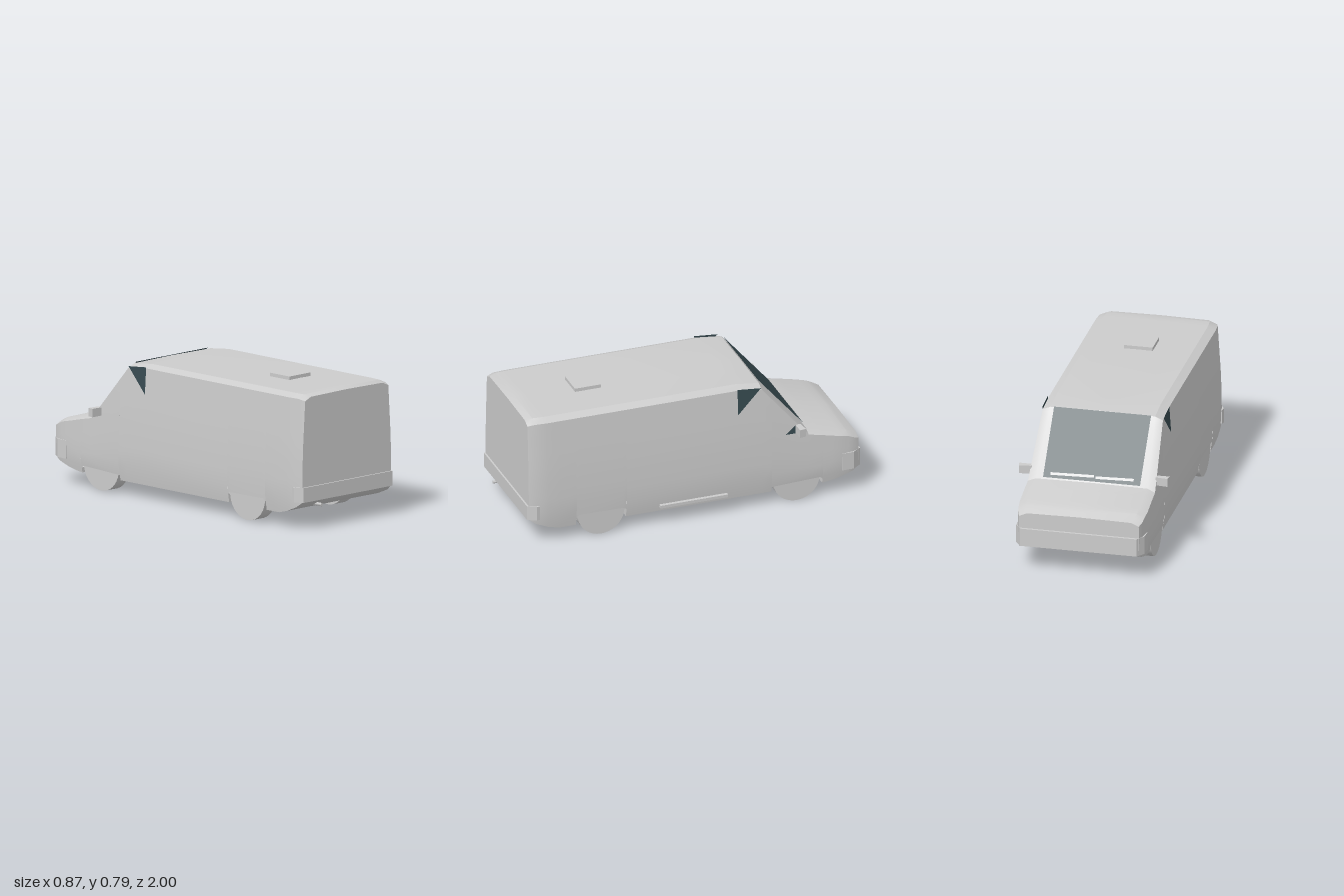
import * as THREE from 'three';
import { toCreasedNormals } from 'three/addons/utils/BufferGeometryUtils.js';

const paint = new THREE.MeshStandardMaterial({ color: 0xcccccc, side: THREE.DoubleSide });
paint.name = 'pale grey paint';
const glass = new THREE.MeshStandardMaterial({ color: 0x374a50, side: THREE.DoubleSide });
glass.name = 'dark glass';

// piecewise linear lookup in a list of [key, value], keys rising
function lookup(table, k) {
  if (k <= table[0][0]) return table[0][1];
  for (let i = 1; i < table.length; i++) {
    const [k0, v0] = table[i - 1], [k1, v1] = table[i];
    if (k <= k1) return v0 + (v1 - v0) * (k - k0) / (k1 - k0);
  }
  return table[table.length - 1][1];
}

// half width of the body by height, its narrowing by z, and the roof line by z
const sideX = y => lookup([[0.08, 0.355], [0.16, 0.369], [0.25, 0.371], [0.45, 0.366], [0.75, 0.346]], y);
const narrowing = z => lookup([[-0.99, 0.93], [-0.95, 0.975], [-0.87, 1], [0.88, 1], [0.95, 0.985], [0.99, 0.945]], z);
const roofY = z => lookup([[-0.985, 0.345], [-0.92, 0.375], [-0.75, 0.415], [-0.68, 0.43], [-0.405, 0.755],
  [-0.26, 0.772], [0.96, 0.772], [0.99, 0.762]], z);

// body sections from the tail to the nose: [z, bottom y, open wheel arch ahead]
const stations = [
  [0.99, 0.16], [0.95, 0.13], [0.88, 0.1], [0.81, 0.08], [0.71, 0.08],
  [0.71, 0.13, true], [0.69, 0.145, true], [0.43, 0.142, true], [0.41, 0.13],
  [0.41, 0.08], [-0.26, 0.08], [-0.405, 0.08], [-0.46, 0.08],
  [-0.46, 0.11, true], [-0.68, 0.12, true], [-0.75, 0.122, true], [-0.765, 0.11],
  [-0.765, 0.08], [-0.82, 0.088], [-0.87, 0.1], [-0.92, 0.115], [-0.95, 0.125], [-0.985, 0.145],
];
const steps = 7;

function halfSection([z, yb]) {
  const top = roofY(z), shoulder = top - 0.024, w = narrowing(z);
  const pts = [new THREE.Vector3(0, yb, z)];
  for (let i = 0; i <= steps; i++) {
    const y = yb + (shoulder - yb) * i / steps;
    pts.push(new THREE.Vector3(sideX(y) * w, y, z));
  }
  pts.push(new THREE.Vector3(sideX(shoulder) * w - 0.045, top - 0.004, z));
  pts.push(new THREE.Vector3(0, top, z));
  return pts;
}

function bodyGeometry() {
  const pos = [];
  const tri = (...vs) => vs.forEach(v => pos.push(v.x, v.y, v.z));
  const quad = (a, b, c, d) => { tri(a, b, c); tri(a, c, d); };
  const flip = v => new THREE.Vector3(-v.x, v.y, v.z);
  const rings = stations.map(halfSection);
  for (let i = 0; i < rings.length - 1; i++) {
    const p = rings[i], q = rings[i + 1];
    const lip = stations[i][0] === stations[i + 1][0];
    for (let j = 0; j < p.length - 1; j++) {
      if (j === 0 && stations[i][2]) continue;
      if (j > 0 && lip) continue;
      quad(p[j], q[j], q[j + 1], p[j + 1]);
      quad(flip(p[j]), flip(p[j + 1]), flip(q[j + 1]), flip(q[j]));
    }
  }
  // tail and nose panels
  const tail = rings[0], nose = rings[rings.length - 1];
  for (let j = 0; j < tail.length - 1; j++) {
    quad(flip(tail[j]), tail[j], tail[j + 1], flip(tail[j + 1]));
    quad(nose[j], flip(nose[j]), flip(nose[j + 1]), nose[j + 1]);
  }
  const g = new THREE.BufferGeometry();
  g.setAttribute('position', new THREE.Float32BufferAttribute(pos, 3));
  return toCreasedNormals(g, 0.4);
}

// flat panel from three or four corners
function panelGeometry(corners) {
  const g = new THREE.BufferGeometry();
  g.setAttribute('position', new THREE.Float32BufferAttribute(corners.flat(), 3));
  g.setIndex(corners.length === 4 ? [0, 1, 2, 0, 2, 3] : [0, 1, 2]);
  g.computeVertexNormals();
  return g;
}

export function createModel() {
  const van = new THREE.Group();
  van.name = 'van';
  const add = (name, geometry, material, x = 0, y = 0, z = 0) => {
    const m = new THREE.Mesh(geometry, material);
    m.name = name;
    m.position.set(x, y, z);
    van.add(m);
    return m;
  };
  const box = (name, w, h, d, x, y, z) => add(name, new THREE.BoxGeometry(w, h, d), paint, x, y, z);

  add('body', bodyGeometry(), paint);

  // bumpers: plan outline [half width, z], raised from y0 to y1
  const bumper = (name, plan, y0, y1) => {
    const outline = [...plan, ...plan.slice().reverse().map(([x, z]) => [-x, z])];
    const shape = new THREE.Shape(outline.map(([x, z]) => new THREE.Vector2(x, -z)));
    const g = new THREE.ExtrudeGeometry(shape, { depth: y1 - y0, bevelEnabled: false });
    g.rotateX(-Math.PI / 2);
    add(name, g, paint, 0, y0, 0);
  };
  bumper('rearBumper', [[0.372, 0.93], [0.376, 0.95], [0.35, 1]], 0.16, 0.245);
  bumper('frontBumper', [[0.335, -1], [0.37, -0.95], [0.373, -0.88]], 0.145, 0.25);

  // wheels
  for (const [end, z] of [['rear', 0.56], ['front', -0.61]]) {
    for (const s of [-1, 1]) {
      const g = new THREE.CylinderGeometry(0.14, 0.14, 0.083, 36);
      g.rotateZ(Math.PI / 2);
      add(end + 'Wheel', g, paint, s * 0.317, 0.14, z);
    }
  }
  box('frontCrossMember', 0.52, 0.03, 0.1, 0, 0.145, -0.57);

  // windscreen, lifted slightly off the slope
  const slope = (x, z, lift) => [x, roofY(z) + lift, z];
  add('windscreen', panelGeometry([slope(-0.28, -0.41, 0.007), slope(0.28, -0.41, 0.007),
    slope(0.28, -0.679, 0.007), slope(-0.28, -0.679, 0.007)]), glass);

  // wiper blades
  for (const [x0, x1] of [[-0.24, -0.02], [-0.01, 0.24]]) {
    add('wiper', panelGeometry([slope(x0, -0.662, 0.012), slope(x0, -0.652, 0.012),
      slope(x1, -0.664 + 0.02, 0.012), slope(x1, -0.674 + 0.02, 0.012)].map(([x, , z]) => {
      const zz = z - 0.012 + (x === x1 ? -0.006 : 0.006);
      return slope(x, zz, 0.013);
    })), paint);
  }

  // side windows, following the leaning flank
  const flank = (s, y, z) => [s * (sideX(y) + 0.004), y, z];
  for (const s of [-1, 1]) {
    add('sideWindow', panelGeometry([flank(s, 0.755, -0.26), flank(s, 0.6, -0.26), flank(s, 0.742, -0.4)]), glass);
  }
  add('quarterWindow', panelGeometry([flank(1, 0.43, -0.54), flank(1, 0.43, -0.6), flank(1, 0.48, -0.6)]), glass);

  // door mirrors, thinner toward the outer end
  for (const s of [-1, 1]) {
    const g = new THREE.BoxGeometry(0.075, 0.048, 0.038);
    const p = g.attributes.position;
    for (let i = 0; i < p.count; i++) {
      if (p.getX(i) * s < 0 && p.getZ(i) < 0) p.setZ(i, p.getZ(i) + 0.008);
      if (p.getX(i) * s > 0 && p.getZ(i) < 0) p.setX(i, p.getX(i) - s * 0.006);
    }
    g.computeVertexNormals();
    add('doorMirror', g, paint, s * 0.397, 0.455, -0.622);
  }

  // roof vent, side step and exhaust
  box('roofVent', 0.165, 0.022, 0.155, 0, 0.78, 0.537);
  box('sideStep', 0.03, 0.017, 0.405, 0.367, 0.114, 0.01);
  const pipe = new THREE.CylinderGeometry(0.01, 0.01, 0.14, 6);
  pipe.rotateX(Math.PI / 2);
  add('exhaustPipe', pipe, paint, -0.205, 0.13, 0.93);

  return van;
}
